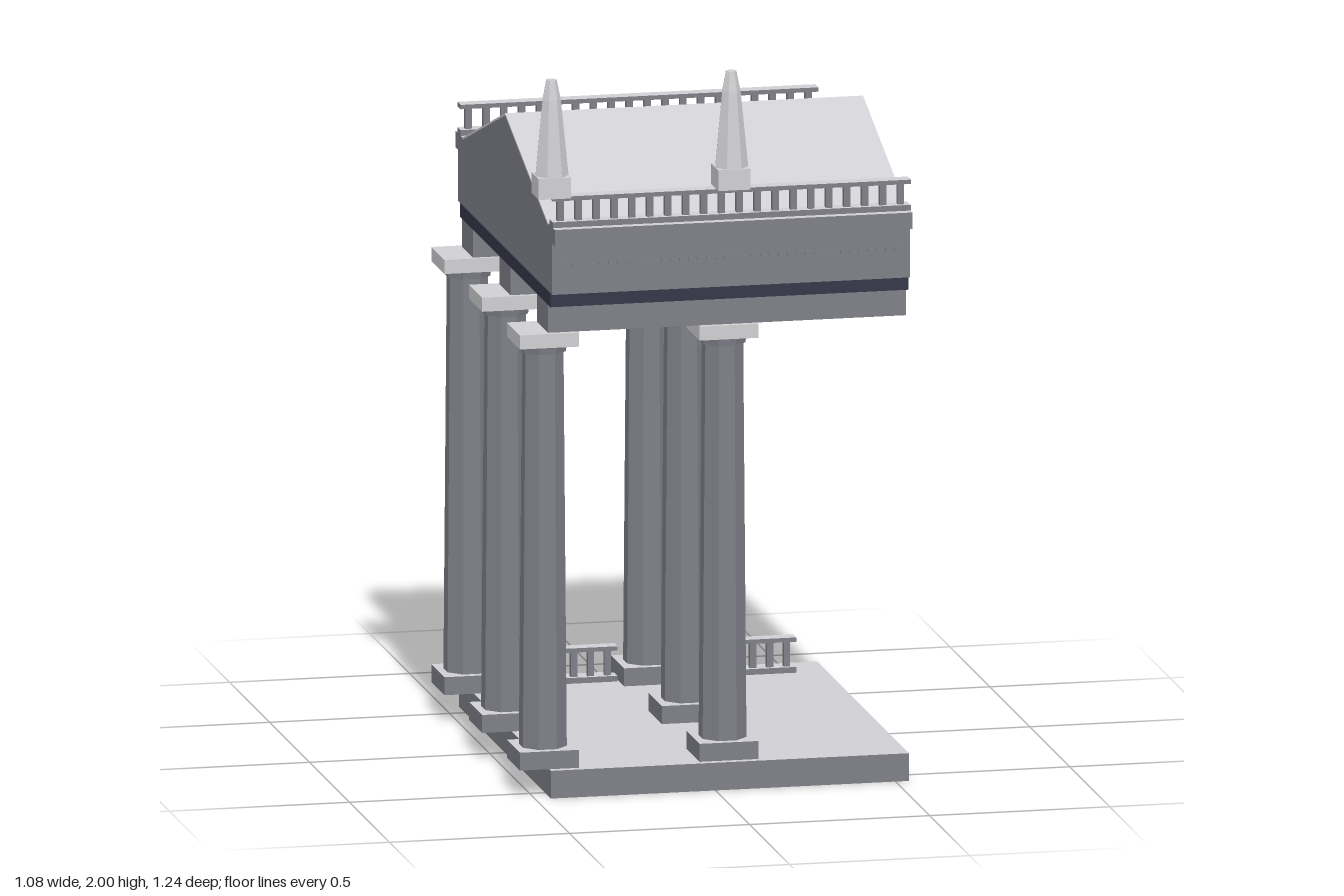
import * as THREE from 'three';

export function createModel() {
  const model = new THREE.Group();
  model.name = 'temple';

  const mat = (name, color) => {
    const m = new THREE.MeshStandardMaterial({ color });
    m.name = name;
    return m;
  };
  const stone = mat('grey stone', 0x7e8088);
  const pale = mat('pale stone', 0xd0d0d4);
  const dark = mat('dark band', 0x373749);
  // grey sides with a pale upper face
  const topped = [stone, stone, pale, stone, stone, stone];

  const add = (parent, name, geo, material) => {
    const mesh = new THREE.Mesh(geo, material);
    mesh.name = name;
    parent.add(mesh);
    return mesh;
  };
  const group = (name, parent = model) => {
    const g = new THREE.Group();
    g.name = name;
    parent.add(g);
    return g;
  };
  // box given by its limits on each axis
  const box = (parent, name, [x0, x1], [y0, y1], [z0, z1], material = topped) => {
    const geo = new THREE.BoxGeometry(x1 - x0, y1 - y0, z1 - z0);
    geo.translate((x0 + x1) / 2, (y0 + y1) / 2, (z0 + z1) / 2);
    return add(parent, name, geo, material);
  };
  const around = (c, h) => [c - h, c + h];
  // faceted upright prism between two heights
  const prism = (parent, name, x, z, y0, y1, r0, r1, sides, turn, material) => {
    const geo = new THREE.CylinderGeometry(r1, r0, y1 - y0, sides).toNonIndexed();
    geo.computeVertexNormals();
    geo.rotateY(turn);
    geo.translate(x, (y0 + y1) / 2, z);
    return add(parent, name, geo, material);
  };
  // solid running the length of the building, from a (z, y) outline
  const X = [-0.457, 0.537];
  const lengthwise = (name, points, material) => {
    const shape = new THREE.Shape(points.map(([z, y]) => new THREE.Vector2(z, y)));
    const geo = new THREE.ExtrudeGeometry(shape, { depth: X[1] - X[0], bevelEnabled: false });
    geo.rotateY(-Math.PI / 2);
    geo.translate(X[1], 0, 0);
    return add(model, name, geo, material);
  };
  const balustrade = (name, [x0, x1], y0, y1, z, count) => {
    const g = group(name);
    box(g, 'bottomRail', [x0, x1], [y0, y0 + 0.016], around(z, 0.02));
    box(g, 'topRail', [x0, x1], [y1 - 0.012, y1], around(z, 0.02));
    const step = (x1 - x0) / count;
    for (let i = 0; i < count; i++) {
      const x = x0 + step * (i + 0.5);
      box(g, 'baluster', around(x, 0.009), [y0 + 0.016, y1 - 0.012], around(z, 0.009), stone);
    }
  };

  // floor slab
  box(model, 'base', X, [0, 0.077], [-0.574, 0.574]);

  // two rows of three columns, each row under the three beams
  const rowsX = [-0.457, 0.042];
  for (const x of rowsX) {
    for (const z of [-0.472, 0, 0.472]) {
      const c = group('column');
      box(c, 'plinth', around(x, 0.082), [0.077, 0.127], around(z, 0.082));
      prism(c, 'shaft', x, z, 0.127, 1.226, 0.066, 0.057, 8, Math.PI / 8, stone);
      prism(c, 'capitalNeck', x, z, 1.224, 1.249, 0.063, 0.067, 8, Math.PI / 8, stone);
      box(c, 'capital', around(x, 0.082), [1.248, 1.287], around(z, 0.082), pale);
    }
  }

  // low railings between and beside the rear columns
  balustrade('rearRailing', [-0.375, -0.045], 0.077, 0.175, -0.472, 7);
  balustrade('rearRailing', [0.124, 0.452], 0.077, 0.175, -0.472, 7);

  // beams and dark band
  for (const z of [-0.47, 0, 0.47]) {
    box(model, 'beam', X, [1.287, 1.364], around(z, 0.068), stone);
  }
  box(model, 'darkBand', X, [1.364, 1.403], [-0.566, 0.566], dark);

  // walls and gables
  lengthwise('gable', [
    [-0.587, 1.403], [0.587, 1.403], [0.587, 1.545], [0.535, 1.545],
    [0.535, 1.585], [0, 1.772], [-0.535, 1.585], [-0.535, 1.545], [-0.587, 1.545],
  ], stone);
  lengthwise('roof', [
    [0.535, 1.585], [0.535, 1.591], [0, 1.778], [-0.535, 1.591], [-0.535, 1.585], [0, 1.772],
  ], pale);

  // eaves on both long sides
  for (const s of [-1, 1]) {
    const span = (a, b) => (s > 0 ? [a, b] : [-b, -a]);
    box(model, 'cornice', X, [1.545, 1.591], span(0.535, 0.621));
    balustrade('roofRailing', X, 1.591, 1.677, s * 0.577, 20);
    for (let i = 0; i < 40; i++) {
      const x = X[0] + (i + 0.5) * (X[1] - X[0]) / 40;
      box(model, 'dentil', around(x, 0.006), [1.481, 1.489], span(0.586, 0.592), stone);
    }
  }

  // seven-sided spires above the front columns
  for (const x of rowsX) {
    const s = group('spire');
    const z = 0.577;
    box(s, 'spireBase', around(x, 0.045), [1.677, 1.735], around(z, 0.045), pale);
    prism(s, 'spireShaft', x, z, 1.735, 1.945, 0.047, 0.026, 7, Math.PI, pale);
    prism(s, 'spireTip', x, z, 1.945, 2, 0.026, 0.015, 7, Math.PI, pale);
  }

  return model;
}
